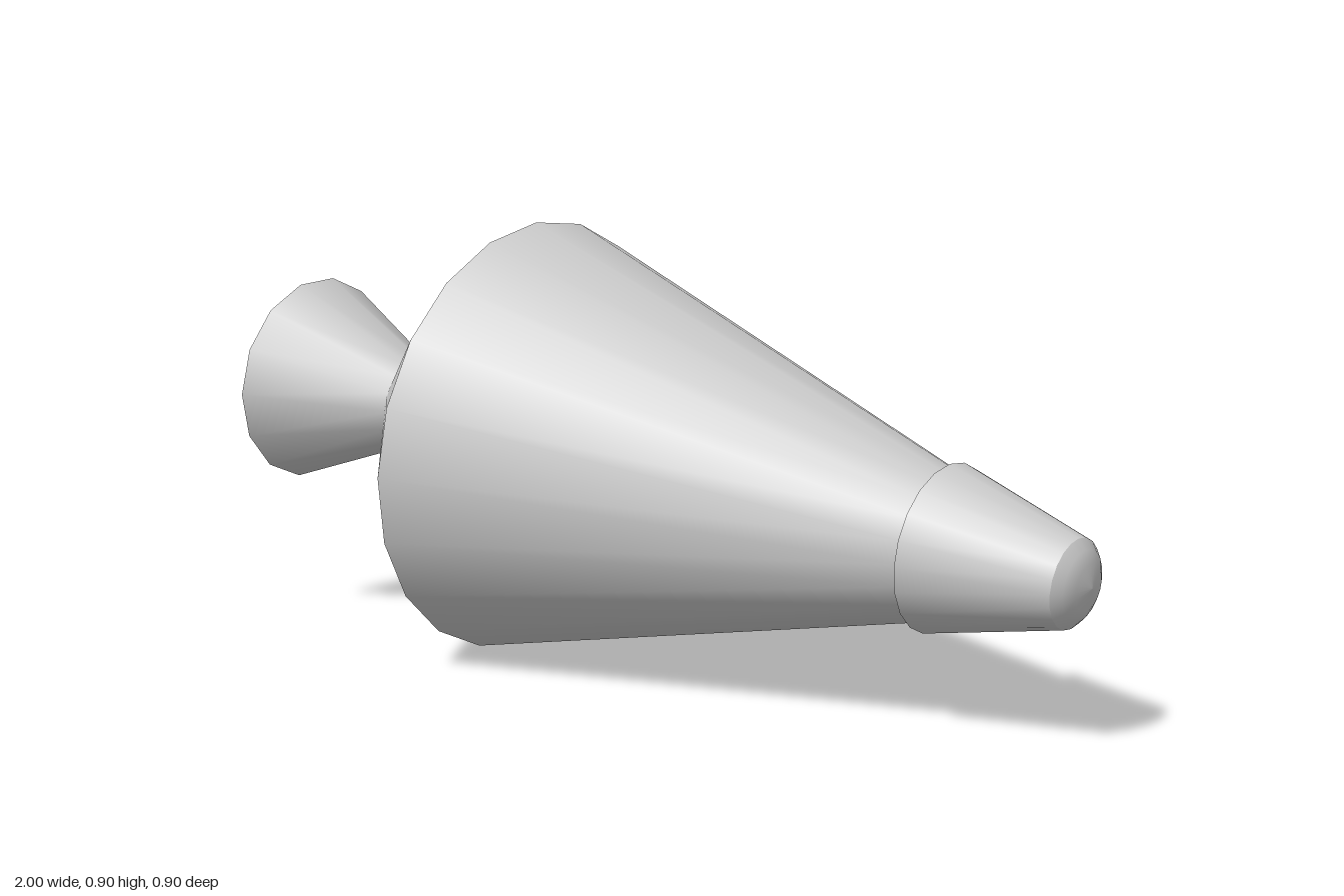
import * as THREE from 'three';

const grey = (opts = {}) => new THREE.MeshStandardMaterial({ color: 0xcccccc, ...opts });

// Turned part: profile of [radius, distance along the axis], rear to front
function turned(name, profile, sides = 20, material = grey()) {
  const points = profile.map(([r, s]) => new THREE.Vector2(r, s));
  const mesh = new THREE.Mesh(new THREE.LatheGeometry(points, sides), material);
  mesh.name = name;
  mesh.rotation.y = THREE.MathUtils.degToRad(8.2);
  return mesh;
}

export function createModel() {
  const model = new THREE.Group();
  model.name = 'rocketCapsule';

  // Everything shares one slightly tilted axis, measured from the widest ring
  const craft = new THREE.Group();
  craft.name = 'craft';
  const axis = new THREE.Vector3(1, -0.106, -0.079).normalize();
  craft.quaternion.setFromUnitVectors(new THREE.Vector3(0, 1, 0), axis);
  craft.position.set(-0.345, 0.452, 0);
  model.add(craft);

  // Separate profiles keep the edges between sections sharp
  craft.add(
    turned('rearCap', [[0, -0.333], [0.09, -0.333]]),
    turned('rearCone', [[0.09, -0.333], [0.453, 0]]),
    turned('mainBody', [[0.453, 0], [0.143, 1.034]]),
    turned('collarStep', [[0.13, 1.034], [0.165, 1.034]]),
    turned('noseCone', [[0.165, 1.034], [0.087, 1.319]]),
    turned('noseTip', [[0.087, 1.319], [0.069, 1.335], [0.045, 1.348], [0, 1.356]]),
  );

  // Open engine bell: smooth outside, faceted inside
  const rim = [0.223, -0.632];
  const throat = [0.09, -0.325];
  craft.add(
    turned('engineBell', [rim, throat], 14, grey({ side: THREE.DoubleSide })),
    turned('engineBellLining', [throat, rim].map(([r, s]) => [r - 0.001, s]), 14,
      grey({ side: THREE.DoubleSide, flatShading: true })),
  );

  return model;
}
